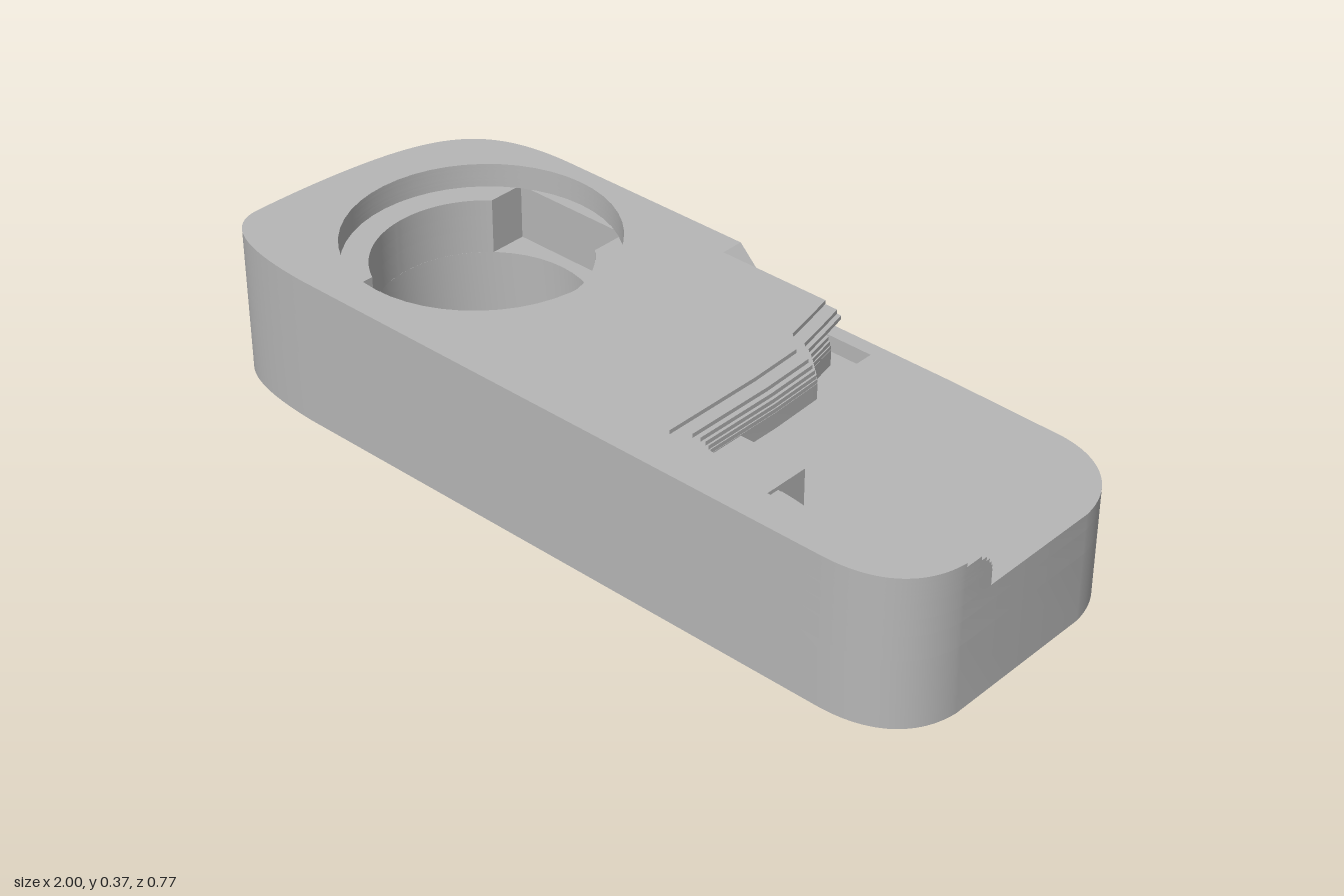
import * as THREE from 'three';
import { toCreasedNormals } from 'three/addons/utils/BufferGeometryUtils.js';

const grey = new THREE.MeshStandardMaterial({ color: 0xb6b6b6 });
grey.name = 'plain grey';

const TOP = 0.37, FLOOR = 0.27, LEDGE = 0.31;
const HX = -0.55, HY = 0.02; // hole centre in plan (plan y = -z)

// Horizontal slab of a plan shape between two heights
function slab(name, shape, y0, y1) {
  let g = new THREE.ExtrudeGeometry(shape, { depth: y1 - y0, bevelEnabled: false, curveSegments: 24 });
  g.rotateX(-Math.PI / 2);
  g.translate(0, y0, 0);
  g = toCreasedNormals(g, 0.4);
  const m = new THREE.Mesh(g, grey);
  m.name = name;
  return m;
}

function roundHole(r) {
  return new THREE.Path().absarc(HX, HY, r, 0, Math.PI * 2, false);
}

// Round hole with a rectangular notch at the back and at the front
function notchedHole() {
  const r = 0.255, back = Math.acos(0.165 / r), front = Math.acos(0.12 / r);
  const p = new THREE.Path();
  p.absarc(HX, HY, r, -front, back, false);
  p.lineTo(HX + 0.165, HY + 0.29);
  p.lineTo(HX - 0.165, HY + 0.29);
  p.absarc(HX, HY, r, Math.PI - back, Math.PI + front, false);
  p.lineTo(HX - 0.12, HY - 0.28);
  p.lineTo(HX + 0.12, HY - 0.28);
  p.closePath();
  return p;
}

// Outer edge from the right end, round the front and left end, to the back
function outerEdge(s, startZ) {
  s.moveTo(1, -startZ);
  s.lineTo(1, -0.211);
  s.bezierCurveTo(0.99, -0.31, 0.92, -0.38, 0.78, -0.38);
  s.lineTo(-0.7, -0.385);
  s.bezierCurveTo(-0.9, -0.38, -1, -0.34, -1, -0.25);
  s.bezierCurveTo(-1, -0.05, -0.98, 0.1, -0.955, 0.18);
  s.bezierCurveTo(-0.91, 0.33, -0.82, 0.385, -0.64, 0.388);
}

function fullPlan(...holes) {
  const s = new THREE.Shape();
  outerEdge(s, 0);
  s.lineTo(0.5, 0.387);
  s.lineTo(0.8, 0.38);
  s.bezierCurveTo(0.92, 0.37, 0.99, 0.29, 1, 0.19);
  s.closePath();
  s.holes.push(...holes);
  return s;
}

// Plan left standing around the recess; o sets the wall back as it rises
function raisedPlan(o, undercut, hole) {
  const s = new THREE.Shape();
  outerEdge(s, 0.125 + 1.4 * o);
  const line = pts => pts.forEach(([x, z]) => s.lineTo(x, -z));
  line([[-0.1, -0.388], [-0.1, -0.33]]);
  line(undercut ? [[0, -0.33], [0, -0.26], [0.272 - o, -0.26]]
    : [[0.255 - o, -0.33], [0.272 - o, -0.26]]);
  line([[0.29 - o, -0.18], [0.335 - o, -0.14], [0.342 - o, 0], [0.342 - o, 0.205 + o], [0.36 - o, 0.225 + o]]);
  const lip = [[0.57, 0.235], [0.7, 0.245], [0.82, 0.23], [0.92, 0.19], [1, 0.125]]
    .map(([x, z], i) => new THREE.Vector2(x, -(z + (1 + 0.1 * i) * o)));
  s.splineThru(lip);
  s.holes.push(hole);
  return s;
}

export function createModel() {
  const model = new THREE.Group();

  // Base: plain hole, then notches, then the floor slot
  const slot = new THREE.Path([[0, 0.26], [0.31, 0.26], [0.31, 0.35], [0, 0.35]]
    .map(p => new THREE.Vector2(...p)));
  model.add(slab('lowerBody', fullPlan(roundHole(0.255)), 0, 0.17));
  model.add(slab('middleBody', fullPlan(notchedHole()), 0.17, 0.23));
  model.add(slab('recessFloor', fullPlan(notchedHole(), slot), 0.23, FLOOR));

  // Raised part with a stepped, rounded wall
  const raised = new THREE.Group();
  raised.name = 'raisedBody';
  raised.add(slab('wallFoot', raisedPlan(0, true, notchedHole()), FLOOR, LEDGE));
  for (let i = 0; i < 6; i++) {
    const t = (i + 1) / 6, o = 0.06 * (1 - Math.sqrt(1 - t * t));
    const y = LEDGE + i * 0.01;
    raised.add(slab('wallStep', raisedPlan(o, i < 3, roundHole(0.32)), y, i === 5 ? TOP : y + 0.01));
  }
  model.add(raised);

  // Square block on the front lip
  const block = new THREE.Mesh(new THREE.BoxGeometry(0.17, 0.099, 0.12), grey);
  block.position.set(0.485, FLOOR + 0.0495, 0.24);
  block.name = 'lipBlock';
  model.add(block);

  // Ramp down into the back notch
  const tri = new THREE.Shape([[-0.1, FLOOR], [0, FLOOR], [-0.1, TOP]].map(p => new THREE.Vector2(...p)));
  const ramp = new THREE.Mesh(new THREE.ExtrudeGeometry(tri, { depth: 0.058, bevelEnabled: false }), grey);
  ramp.position.z = -0.388;
  ramp.name = 'notchRamp';
  model.add(ramp);

  return model;
}
